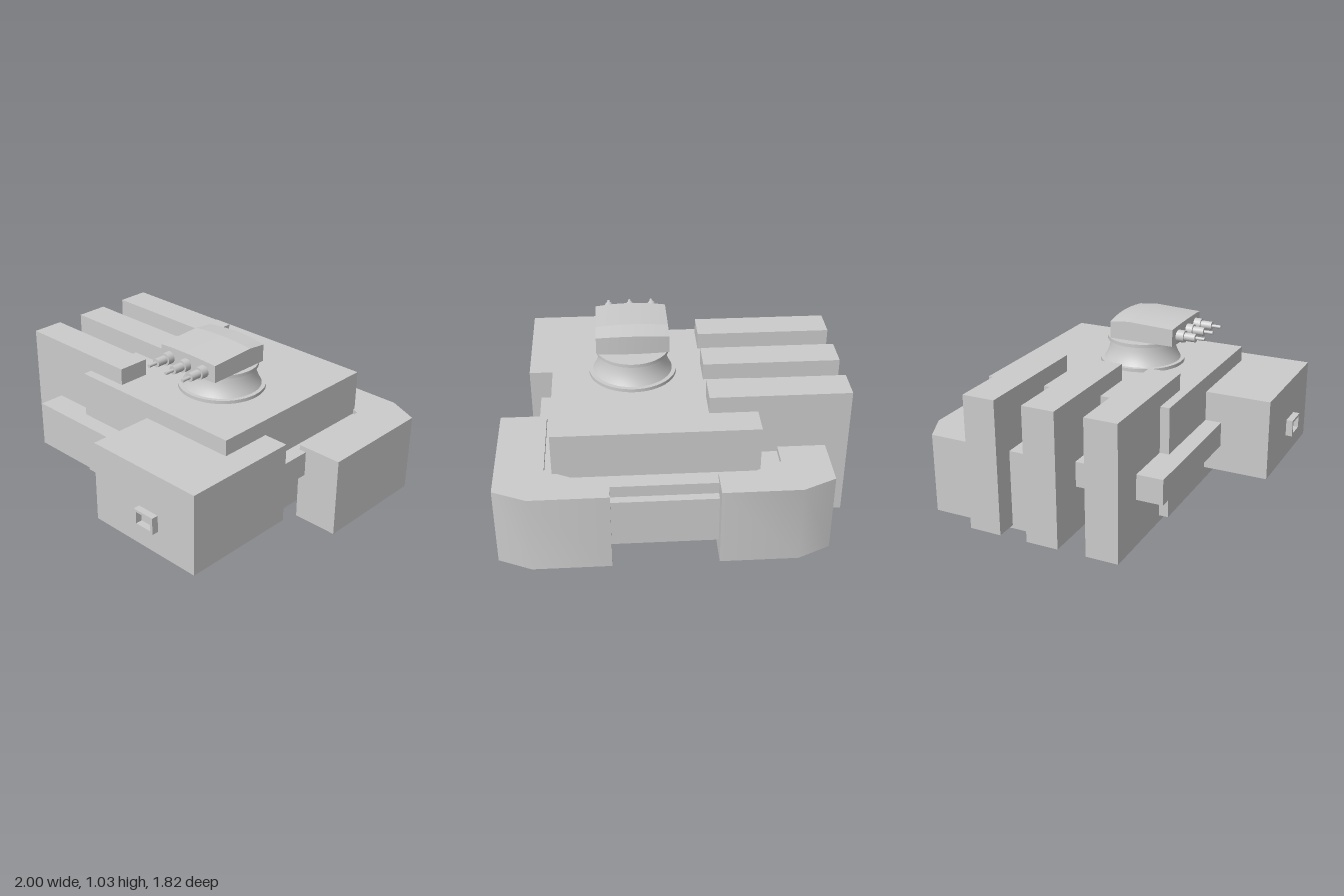
import * as THREE from 'three';
import { toCreasedNormals } from 'three/addons/utils/BufferGeometryUtils.js';

const material = new THREE.MeshStandardMaterial({ color: 0xcccccc });

export function createModel() {
  const model = new THREE.Group();

  const add = (name, geometry, parent = model) => {
    const mesh = new THREE.Mesh(geometry, material);
    mesh.name = name;
    parent.add(mesh);
    return mesh;
  };

  // Box given by its limits on each axis
  const box = (name, [x0, x1], [y0, y1], [z0, z1]) => {
    const geometry = new THREE.BoxGeometry(x1 - x0, y1 - y0, z1 - z0);
    geometry.translate((x0 + x1) / 2, (y0 + y1) / 2, (z0 + z1) / 2);
    return add(name, geometry);
  };

  // Body
  box('mainBody', [-0.475, 0.68], [0.06, 0.725], [-0.68, 0.475]);
  box('middleSlab', [-0.78, 0.77], [0.3, 0.45], [-0.78, 0.575]);
  box('backPanel', [-0.24, 0.37], [0.09, 0.38], [-0.83, -0.66]);
  box('frontBox', [0.07, 0.83], [0.14, 0.63], [0.155, 0.87]);

  // Side fins
  for (const z of [-0.405, -0.043, 0.322]) {
    box('sideFin', [-1, -0.2], [0.02, 0.825], [z - 0.097, z + 0.097]);
  }

  // Angled rear corner blocks, mirrored about x = 0.065
  const corner = [[0.3, -0.91], [0.745, -0.91], [0.935, -0.822], [0.935, -0.1],
    [0.66, -0.1], [0.66, -0.645], [0.475, -0.737], [0.3, -0.737]];
  for (const side of [1, -1]) {
    const shape = new THREE.Shape(corner.map(([x, z]) => new THREE.Vector2(0.065 + side * x, -z)));
    const geometry = new THREE.ExtrudeGeometry(shape, { depth: 0.48, bevelEnabled: false });
    geometry.rotateX(-Math.PI / 2);
    add('rearCornerBlock', toCreasedNormals(geometry, 0.6));
  }

  // Small rectangular port frame on the front box
  const rectangle = (path, w, h) => path.moveTo(-w, -h).lineTo(w, -h).lineTo(w, h).lineTo(-w, h).closePath();
  const frame = rectangle(new THREE.Shape(), 0.071, 0.051);
  frame.holes.push(rectangle(new THREE.Path(), 0.054, 0.036));
  add('portFrame', new THREE.ExtrudeGeometry(frame, { depth: 0.04, bevelEnabled: false }))
    .position.set(0.492, 0.336, 0.87);

  // Turret
  const turret = new THREE.Group();
  turret.name = 'turret';
  turret.position.x = 0.206;
  model.add(turret);

  const profile = [[0, 0.725], [0.257, 0.725], [0.257, 0.745], [0.232, 0.745], [0.218, 0.77], [0.206, 0.8],
    [0.198, 0.83], [0.194, 0.858], [0.213, 0.862], [0.213, 0.882], [0, 0.882]];
  const pedestal = new THREE.LatheGeometry(profile.map(([r, y]) => new THREE.Vector2(r, y)), 48);
  add('turretPedestal', toCreasedNormals(pedestal, 0.6), turret);
  add('turretNeck', new THREE.CylinderGeometry(0.074, 0.074, 0.04, 32), turret).position.y = 0.895;

  // Head: a box with a domed top, a ridge at z = 0 and bowed ends
  const head = new THREE.BoxGeometry(0.42, 0.1, 2, 12, 1, 2);
  const p = head.attributes.position;
  for (let i = 0; i < p.count; i++) {
    const x = p.getX(i), end = p.getZ(i);
    const bow = 1 - (x / 0.21) ** 2;
    const z = end > 0.5 ? 0.283 + 0.009 * bow : end < -0.5 ? -0.115 - 0.013 * bow : 0;
    const top = 1.005 + 0.012 * bow + (Math.abs(end) < 0.5 ? 0.012 : 0);
    p.setXYZ(i, x, p.getY(i) > 0 ? top : 0.903, z);
  }
  add('turretHead', toCreasedNormals(head, 0.12), turret);

  // Three stepped nozzles: radius, start and end along z
  const steps = [[0.036, 0.27, 0.333], [0.025, 0.333, 0.4], [0.01, 0.4, 0.455]];
  for (const x of [-0.133, 0, 0.128]) {
    const nozzle = new THREE.Group();
    nozzle.name = 'nozzle';
    nozzle.position.set(x, 0.95, 0);
    turret.add(nozzle);
    for (const [r, z0, z1] of steps) {
      const geometry = new THREE.CylinderGeometry(r, r, z1 - z0, 20);
      geometry.rotateX(Math.PI / 2);
      add('nozzleSection', geometry, nozzle).position.z = (z0 + z1) / 2;
    }
  }

  return model;
}
